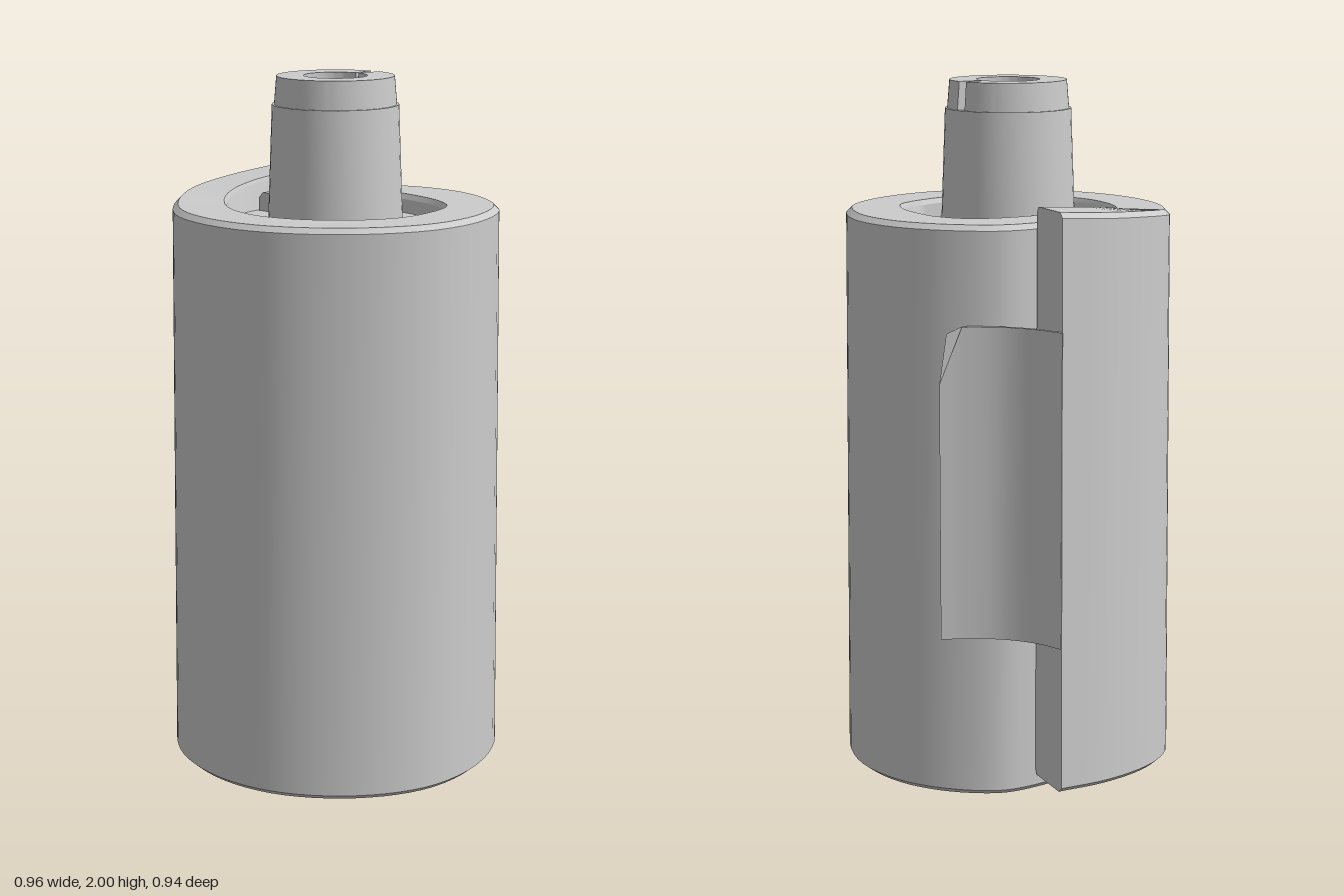
import * as THREE from 'three';
import { toCreasedNormals } from 'three/addons/utils/BufferGeometryUtils.js';

const material = new THREE.MeshStandardMaterial({ color: 0xcccccc, side: THREE.DoubleSide });
const v = (x, y, z) => new THREE.Vector3(x, y, z);
const curve = (pts) => new THREE.CatmullRomCurve3(pts.map(([x, z]) => v(x, 0, z)));

function addMesh(group, name, geometry, crease = 0.5) {
  const mesh = new THREE.Mesh(toCreasedNormals(geometry, crease), material);
  mesh.name = name;
  group.add(mesh);
  return mesh;
}

// Solid skinned through closed cross-sections, with capped ends
function loft(sections) {
  const pos = [];
  const tri = (...ps) => ps.forEach((p) => pos.push(p.x, p.y, p.z));
  const n = sections[0].length;
  for (let i = 0; i < sections.length - 1; i++) {
    const a = sections[i], b = sections[i + 1];
    for (let j = 0; j < n; j++) {
      const k = (j + 1) % n;
      tri(a[j], b[j], b[k]);
      tri(a[j], b[k], a[k]);
    }
  }
  const first = sections[0], last = sections[sections.length - 1];
  for (let j = 1; j < n - 1; j++) {
    tri(first[0], first[j], first[j + 1]);
    tri(last[0], last[j + 1], last[j]);
  }
  const g = new THREE.BufferGeometry();
  g.setAttribute('position', new THREE.Float32BufferAttribute(pos, 3));
  g.computeVertexNormals();
  return g;
}

// Extrude a plan outline upwards from y0 to y1
function prism(shape, y0, y1) {
  return new THREE.ExtrudeGeometry(shape, { depth: y1 - y0, bevelEnabled: false, curveSegments: 40 })
    .rotateX(-Math.PI / 2).translate(0, y0, 0);
}

// Spiral wall in plan (x, z), from the loose outer end to the inner end
const outer = curve([
  [-0.25, -0.455], [-0.36, -0.33], [-0.45, -0.17], [-0.48, -0.03], [-0.47, 0.1],
  [-0.42, 0.23], [-0.31, 0.36], [-0.16, 0.445], [0.01, 0.47], [0.18, 0.44],
  [0.32, 0.36], [0.43, 0.21], [0.48, 0.02], [0.46, -0.11], [0.38, -0.26],
  [0.25, -0.36], [0.1, -0.4], [-0.06, -0.385], [-0.15, -0.32], [-0.25, -0.2],
]);
const inner = curve([
  [-0.15, -0.32], [-0.25, -0.2], [-0.3, -0.1], [-0.315, -0.02], [-0.3, 0.07],
  [-0.26, 0.16], [-0.19, 0.24], [-0.1, 0.285], [0.01, 0.3], [0.12, 0.28],
  [0.2, 0.235], [0.27, 0.14], [0.31, 0.03], [0.28, -0.07], [0.22, -0.15],
  [0.15, -0.215], [0.06, -0.24], [-0.02, -0.21], [-0.08, -0.165], [-0.14, -0.11],
]);

function rolledWall() {
  const H = 1.635, b = 0.015, steps = 76;
  // [fraction from outer to inner face, height]: bevelled rectangle
  const profile = [[0, b], [0, H - b], [0.1, H], [0.95, H], [1, H - b], [1, b], [0.95, 0], [0.1, 0]];
  const sections = [];
  for (let i = 0; i <= steps; i++) {
    const t = i / steps;
    const lift = 0.048 * Math.max(0, 1 - t / 0.2); // the loose end climbs slightly
    const o = outer.getPoint(t), n = inner.getPoint(t);
    sections.push(profile.map(([f, y]) => {
      const taper = 1 - 0.03 * (y / H) * (1 - f);
      return v(THREE.MathUtils.lerp(o.x, n.x, f) * taper, y + lift,
        THREE.MathUtils.lerp(o.z, n.z, f) * taper);
    }));
  }
  return loft(sections);
}

function coreShape() {
  const pts = [];
  for (let i = 0; i <= 60; i++) {
    const p = inner.getPoint(1 / 19 + (i / 60) * (18 / 19));
    pts.push(new THREE.Vector2(p.x, -p.z));
  }
  return new THREE.Shape(pts);
}

// Thin closing tab whose free upper corner is cut along the fold line
function tabSheet() {
  const path = curve([[0.1, -0.43], [0.04, -0.412], [-0.07, -0.395], [-0.17, -0.412], [-0.245, -0.45]]);
  const sections = [];
  for (let i = 0; i <= 24; i++) {
    const p = path.getPoint(i / 24);
    const top = 1.36 - 0.16 * Math.max(0, (p.x - 0.04) / 0.06);
    const zi = p.z + 0.012;
    sections.push([v(p.x, 0.47, p.z), v(p.x, top, p.z), v(p.x, top, zi), v(p.x, 0.47, zi)]);
  }
  return loft(sections);
}

function collar() {
  const a = 0.905, shape = new THREE.Shape(), turn = Math.PI * 2;
  shape.absarc(0, 0, 0.167, a + 0.09, a - 0.09 + turn, false);
  shape.absarc(0, 0, 0.09, a - 0.05 + turn, a + 0.05, true);
  shape.closePath();
  const g = prism(shape, 1.92, 2);
  const p = g.attributes.position;
  for (let i = 0; i < p.count; i++) { // outside narrows towards the top
    const k = Math.hypot(p.getX(i), p.getZ(i)) > 0.1 && p.getY(i) < 1.95 ? 1.04 : 1;
    p.setXYZ(i, p.getX(i) * k, p.getY(i), p.getZ(i) * k);
  }
  g.computeVertexNormals();
  return g;
}

export function createModel() {
  const model = new THREE.Group();
  model.name = 'rolledCylinder';

  addMesh(model, 'rolledWall', rolledWall());
  addMesh(model, 'recessedCore', prism(coreShape(), 0.055, 1.58));

  // Closing tab with its turned-out corner
  const tab = new THREE.Group();
  tab.name = 'closingTab';
  addMesh(tab, 'tabSheet', tabSheet());
  const fold = new THREE.BufferGeometry().setFromPoints(
    [v(0.04, 1.36, -0.4), v(0.1, 1.2, -0.43), v(0.07, 1.35, -0.47)]);
  fold.computeVertexNormals();
  addMesh(tab, 'foldedCorner', fold);
  model.add(tab);

  // Tapered stem topped by a split collar
  const stem = new THREE.Group();
  stem.name = 'stem';
  const profile = [[0.193, 1.57], [0.18, 1.92], [0, 1.92]].map(([r, y]) => new THREE.Vector2(r, y));
  addMesh(stem, 'stemShaft', new THREE.LatheGeometry(profile, 48));
  addMesh(stem, 'splitCollar', collar());
  stem.position.z = 0.02;
  model.add(stem);

  return model;
}
